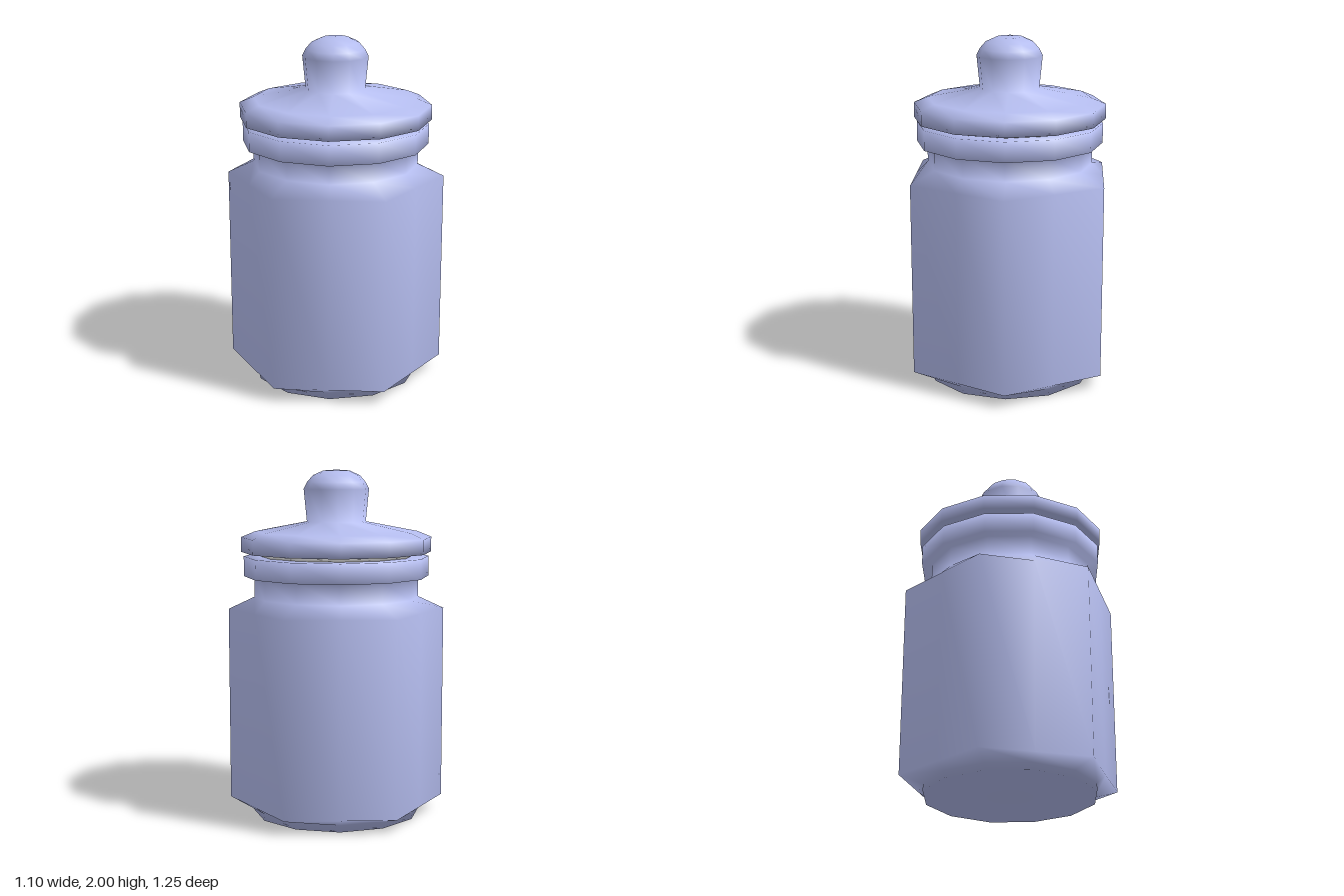
import * as THREE from 'three';

const SIDES = 12;

// Smooth twelve-sided turned part; profile points are [radius, height] from bottom to top
function turned(name, profile, color) {
  const points = profile.map(([r, y]) => new THREE.Vector2(r, y));
  const geometry = new THREE.LatheGeometry(points, SIDES);
  const mesh = new THREE.Mesh(geometry, new THREE.MeshStandardMaterial({ color }));
  mesh.name = name;
  return mesh;
}

// Pull every other column inwards between two heights so the section becomes a hexagon
function makeHexagonal(geometry, yMin, yMax) {
  const pos = geometry.attributes.position;
  const rows = pos.count / (SIDES + 1);
  const inset = Math.cos(Math.PI / 6);
  for (let i = 0; i < pos.count; i++) {
    const column = Math.floor(i / rows);
    const y = pos.getY(i);
    if (column % 2 === 1 && y > yMin && y < yMax) {
      pos.setX(i, pos.getX(i) * inset);
      pos.setZ(i, pos.getZ(i) * inset);
    }
  }
}

export function createModel() {
  const group = new THREE.Group();
  group.name = 'lidded jar';
  const blue = 0xb4bcee;

  // Jar: round foot, hexagonal body, round neck and rim
  const jar = turned('jar', [
    [0, 0], [0.49, 0], [0.49, 0.04],
    [0.625, 0.08], [0.625, 1.2],
    [0.475, 1.27], [0.475, 1.39],
    [0.535, 1.39], [0.535, 1.505], [0.42, 1.505],
  ], blue);
  makeHexagonal(jar.geometry, 0.07, 1.21);

  // Seal between rim and lid
  const seal = turned('seal', [
    [0, 1.5], [0.44, 1.5], [0.44, 1.535], [0, 1.535],
  ], 0xcccccc);

  // Lid with a sloping top, flowing into the knob
  const lid = turned('lid', [
    [0, 1.53], [0.55, 1.53], [0.55, 1.615], [0.47, 1.648],
    [0.17, 1.705],
    [0.188, 1.89], [0.168, 1.93], [0.135, 1.968], [0.075, 1.995], [0, 2],
  ], blue);

  group.add(jar, seal, lid);
  return group;
}
